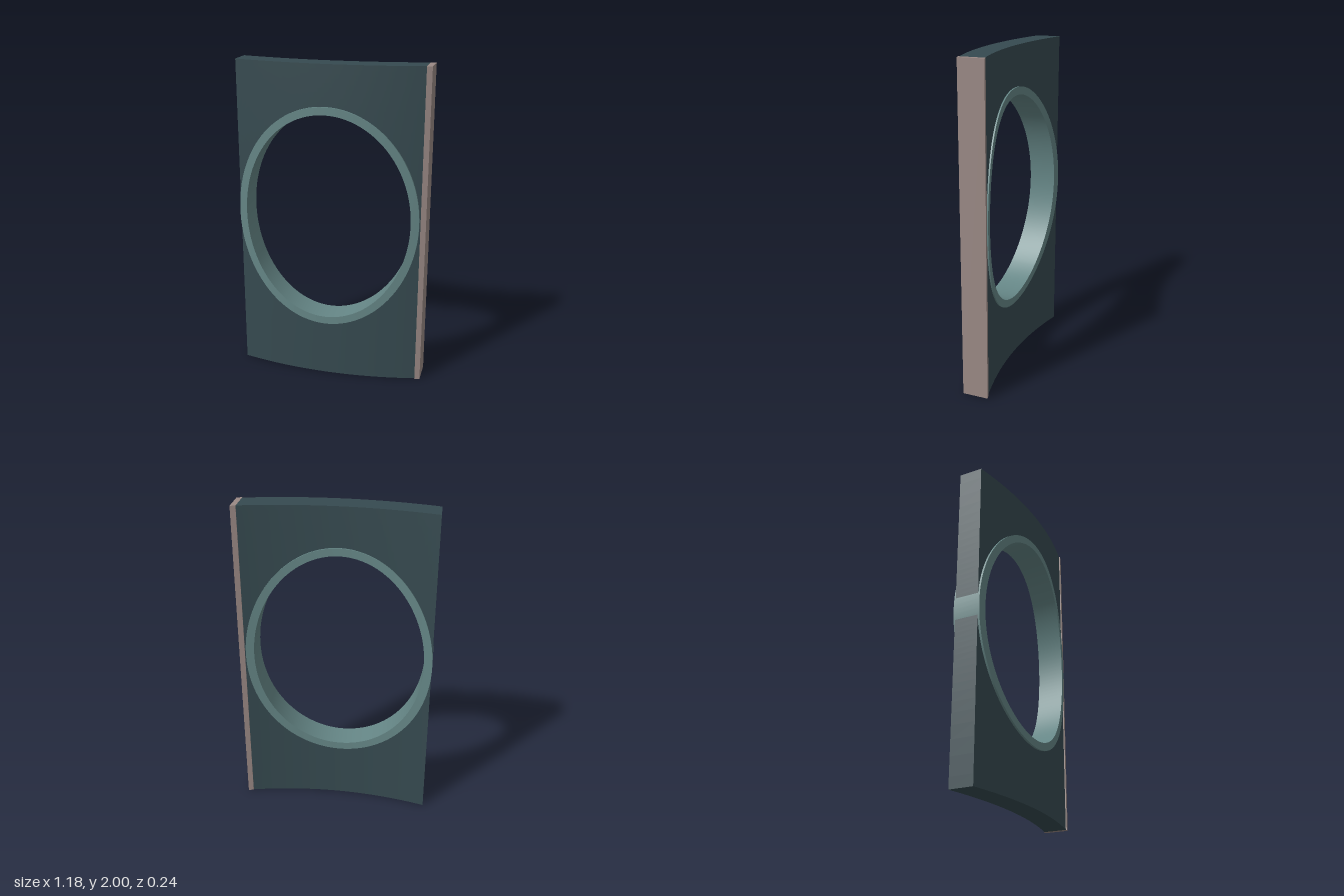
import * as THREE from 'three';
import { toCreasedNormals } from 'three/addons/utils/BufferGeometryUtils.js';

const CX = -0.02, CY = 1.055;                  // centre of the opening
const LEFT = -0.59, RIGHT = 0.56, HEIGHT = 2;  // panel outline
const bow = (x) => -0.21 * x * x;              // the whole slab curves back at its sides

// Directions around the opening, including the exact panel corners
const angles = [];
for (let i = 0; i < 120; i++) angles.push((i / 120) * Math.PI * 2);
for (const x of [LEFT, RIGHT]) {
  for (const y of [0, HEIGHT]) {
    angles.push((Math.atan2(y - CY, x - CX) + Math.PI * 2) % (Math.PI * 2));
  }
}
angles.sort((a, b) => a - b);

// Points where a ray from the centre meets an ellipse or the panel outline
const ellipse = (rx, ry) => (a) => {
  const r = 1 / Math.hypot(Math.cos(a) / rx, Math.sin(a) / ry);
  return [CX + r * Math.cos(a), CY + r * Math.sin(a)];
};
const outline = (a) => {
  const c = Math.cos(a), s = Math.sin(a);
  const tx = (c > 0 ? RIGHT - CX : LEFT - CX) / c;
  const ty = (s > 0 ? HEIGHT - CY : -CY) / s;
  const r = Math.min(Math.abs(tx), Math.abs(ty));
  return [CX + r * c, CY + r * s];
};

// Closed bowed slab between an inner and an outer loop
function bowedFrame(inner, outer, back, front, steps) {
  const pos = [], index = [];
  const m = 2 * (steps + 1), n = angles.length;
  for (const a of angles) {
    const [x0, y0] = inner(a), [x1, y1] = outer(a);
    for (let j = 0; j < m; j++) {
      const t = (j <= steps ? j : m - 1 - j) / steps;
      const x = x0 + (x1 - x0) * t, y = y0 + (y1 - y0) * t;
      pos.push(x, y, (j <= steps ? front : back) + bow(x));
    }
  }
  for (let i = 0; i < n; i++) {
    for (let j = 0; j < m; j++) {
      const i2 = (i + 1) % n, j2 = (j + 1) % m;
      const a = i * m + j, b = i * m + j2, c = i2 * m + j2, d = i2 * m + j;
      index.push(a, b, c, a, c, d);
    }
  }
  const g = new THREE.BufferGeometry();
  g.setAttribute('position', new THREE.Float32BufferAttribute(pos, 3));
  g.setIndex(index);
  return toCreasedNormals(g, 0.5);
}

export function createModel() {
  const group = new THREE.Group();
  const material = (name, color) => {
    const m = new THREE.MeshStandardMaterial({ color });
    m.name = name;
    return m;
  };
  const add = (name, geometry, mat) => {
    const mesh = new THREE.Mesh(geometry, mat);
    mesh.name = name;
    group.add(mesh);
  };

  // Curved panel with an oval opening
  add('panel', bowedFrame(ellipse(0.55, 0.675), outline, -0.04, 0.108, 10),
    material('dark slate', 0x364a50));

  // Rim lining the opening, slightly proud of both faces
  add('rim', bowedFrame(ellipse(0.523, 0.65), ellipse(0.573, 0.698), -0.049, 0.12, 2),
    material('grey teal', 0x658686));

  // Edge strip along the left side, following the curve
  const strip = new THREE.BoxGeometry(0.032, HEIGHT, 0.159).translate(0.576, HEIGHT / 2, 0.0355);
  const p = strip.attributes.position;
  for (let i = 0; i < p.count; i++) p.setZ(i, p.getZ(i) + bow(p.getX(i)));
  strip.computeVertexNormals();
  add('edgeStrip', strip, material('warm grey', 0x9a8985));

  return group;
}
